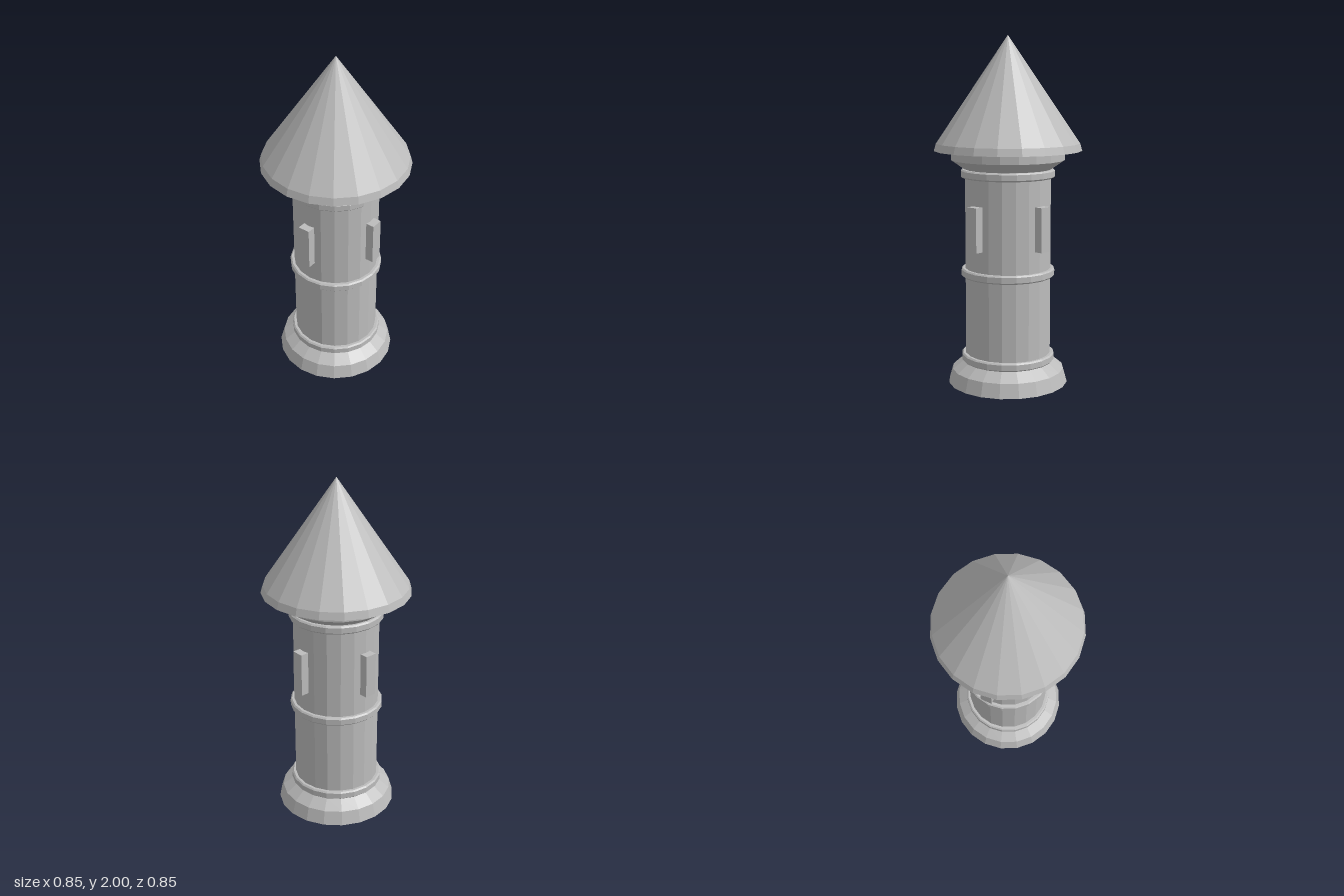
import * as THREE from 'three';

const SIDES = 20;

// Faceted turned solid from [radius, height] pairs, listed bottom to top
function turned(name, profile, material) {
  const points = profile.map(([r, y]) => new THREE.Vector2(r, y));
  const geometry = new THREE.LatheGeometry(points, SIDES).toNonIndexed();
  geometry.computeVertexNormals();
  const mesh = new THREE.Mesh(geometry, material);
  mesh.name = name;
  return mesh;
}

export function createModel() {
  const tower = new THREE.Group();
  tower.name = 'tower';
  const stone = new THREE.MeshStandardMaterial({ color: 0xbcbcbc });
  stone.name = 'grey stone';

  // Flared foot, shaft, cornice and conical roof
  tower.add(
    turned('base', [[0, 0], [0.348, 0], [0.325, 0.08], [0.262, 0.13], [0, 0.13]], stone),
    turned('shaft', [[0.247, 0.12], [0.247, 1.26]], stone),
    turned('cornice', [[0, 1.25], [0.25, 1.25], [0.325, 1.302], [0.325, 1.36]], stone),
    turned('roof', [[0, 1.355], [0.423, 1.355], [0.411, 1.397], [0, 2]], stone)
  );

  // Chamfered bands around the shaft
  for (const y of [0.152, 0.654, 1.225]) {
    const band = turned('band', [
      [0.24, -0.024], [0.262, -0.024], [0.27, -0.016],
      [0.27, 0.016], [0.262, 0.024], [0.24, 0.024],
    ], stone);
    band.position.y = y;
    tower.add(band);
  }

  // Raised window blocks on the four sides
  const windowGeometry = new THREE.BoxGeometry(0.07, 0.253, 0.08);
  for (let i = 0; i < 4; i++) {
    const angle = (i * Math.PI) / 2;
    const block = new THREE.Mesh(windowGeometry, stone);
    block.name = 'windowBlock';
    block.position.set(Math.sin(angle) * 0.25, 0.927, Math.cos(angle) * 0.25);
    block.rotation.y = angle;
    tower.add(block);
  }
  return tower;
}
